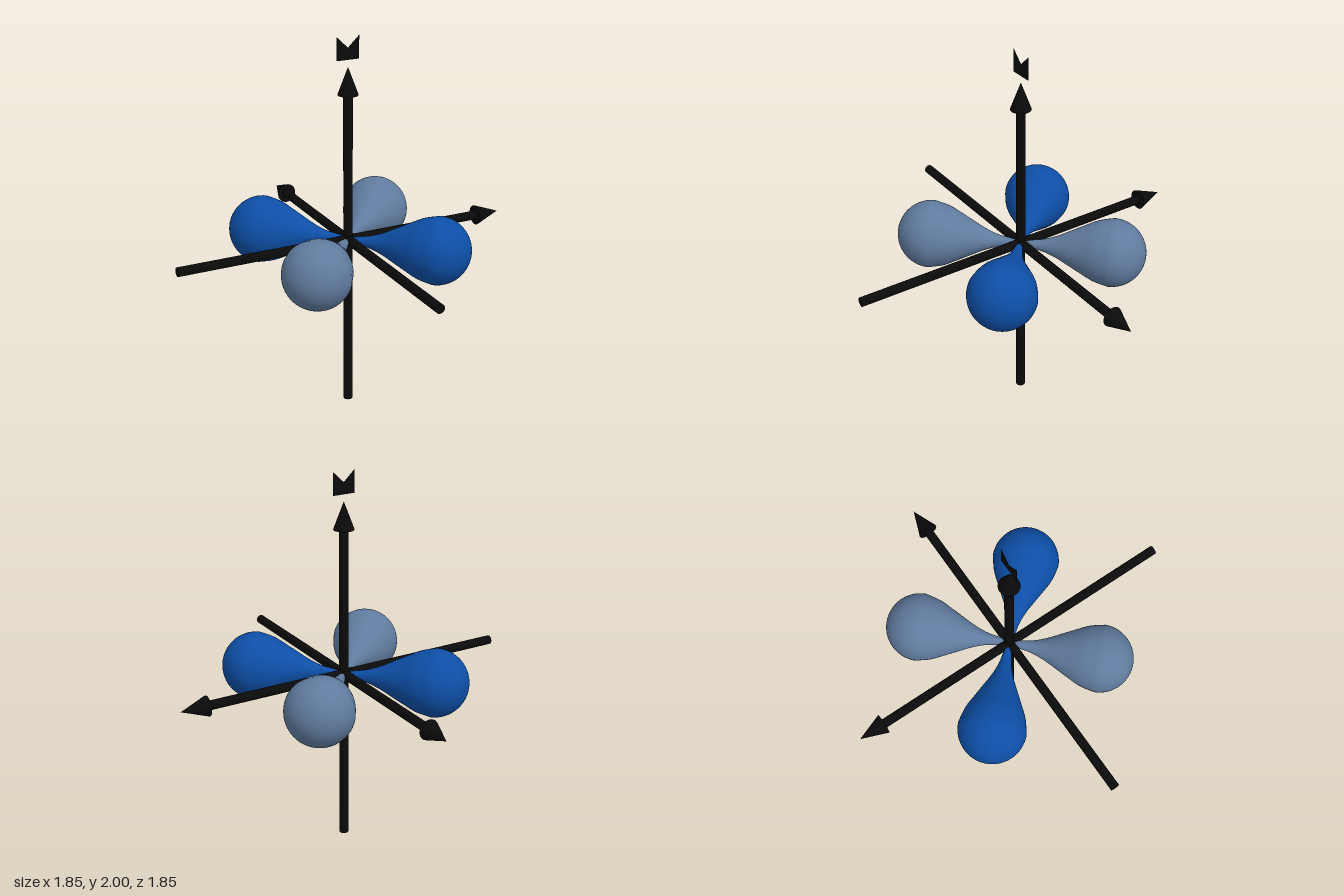
import * as THREE from 'three';

const black = new THREE.MeshStandardMaterial({ color: 0x0a0a0b });
black.name = 'black';
const blue = new THREE.MeshStandardMaterial({ color: 0x0d4ea6 });
blue.name = 'deep blue';
const grey = new THREE.MeshStandardMaterial({ color: 0x607b9e });
grey.name = 'slate blue';

const TAIL = 0.932, TIP = 0.915, HEAD = 0.142;

// Arrow along +y, with its crossing point at the origin
function makeArrow(name) {
  const arrow = new THREE.Group();
  arrow.name = name;
  const length = TAIL + TIP - HEAD;
  const shaft = new THREE.Mesh(new THREE.CylinderGeometry(0.024, 0.024, length, 24), black);
  shaft.name = 'shaft';
  shaft.position.y = -TAIL + length / 2;
  const head = new THREE.Mesh(new THREE.ConeGeometry(0.053, HEAD, 32), black);
  head.name = 'arrowHead';
  head.position.y = TIP - HEAD / 2;
  arrow.add(shaft, head);
  return arrow;
}

// Teardrop profile: slender concave neck running into a round end
function lobeGeometry() {
  const R = 0.177, C = 0.474;
  const neck = [[0.004, 0], [0.02, 0.05], [0.033, 0.12], [0.058, 0.19], [0.09, 0.255],
    [0.125, 0.325], [0.158, 0.395], [R, C]];
  const curve = new THREE.SplineCurve(neck.map(([r, y]) => new THREE.Vector2(r, y)));
  const points = curve.getPoints(36);
  for (let i = 1; i <= 16; i++) {
    const a = (i / 16) * Math.PI / 2;
    points.push(new THREE.Vector2(Math.max(R * Math.cos(a), 0), C + R * Math.sin(a)));
  }
  return new THREE.LatheGeometry(points, 48);
}

export function createModel() {
  const model = new THREE.Group();
  model.name = 'fourLobedAxes';
  const core = new THREE.Group();
  core.name = 'core';
  core.position.set(0.009, 0.932, -0.009);
  model.add(core);

  // Three crossing arrows: up, left and back
  const up = makeArrow('verticalArrow');
  const side = makeArrow('sideArrow');
  side.rotation.z = -Math.PI / 2;
  const back = makeArrow('backArrow');
  back.rotation.x = -Math.PI / 2;
  core.add(up, side, back);

  // Four diagonal lobes, opposite pairs sharing a colour
  const geometry = lobeGeometry();
  const yAxis = new THREE.Vector3(0, 1, 0);
  for (const sx of [1, -1]) {
    for (const sz of [1, -1]) {
      const lobe = new THREE.Mesh(geometry, sx === sz ? blue : grey);
      lobe.name = (sz > 0 ? 'front' : 'back') + (sx > 0 ? 'Left' : 'Right') + 'Lobe';
      lobe.quaternion.setFromUnitVectors(yAxis, new THREE.Vector3(sx, 0, sz).normalize());
      core.add(lobe);
    }
  }

  // Flat notched marker above the vertical arrow, a very thin plate
  const outline = new THREE.Shape([[-0.061, 0], [0.061, 0], [0.061, 0.118], [0, 0.06], [-0.061, 0.118]]
    .map(([x, y]) => new THREE.Vector2(x, y)));
  const marker = new THREE.Mesh(
    new THREE.ExtrudeGeometry(outline, { depth: 0.002, bevelEnabled: false }), black);
  marker.name = 'notchedMarker';
  marker.position.set(0, 0.95, -0.001);
  core.add(marker);

  return model;
}
